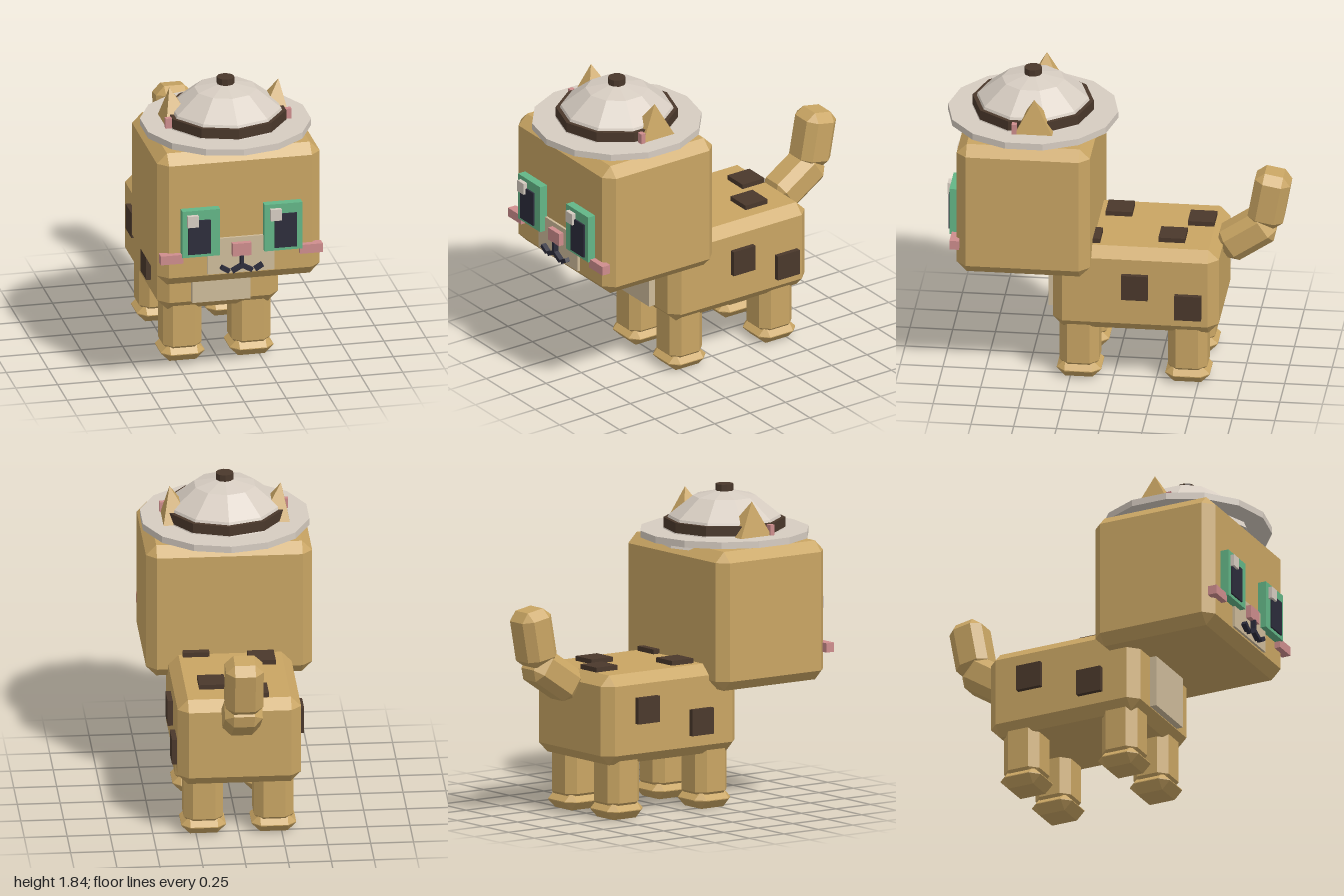
import * as THREE from 'three';
import { ConvexGeometry } from 'three/addons/geometries/ConvexGeometry.js';

const mat = (name, color, extra = {}) => {
  const m = new THREE.MeshStandardMaterial({ color, flatShading: true, ...extra });
  m.name = name;
  return m;
};

export function createModel() {
  const fur = mat('tan fur', 0xc9a563);
  const cream = mat('cream fur', 0xcebb9a);
  const white = mat('off white', 0xd6ccc1, { side: THREE.DoubleSide });
  const brown = mat('dark brown', 0x4a382b);
  const green = mat('eye green', 0x63b687);
  const navy = mat('navy', 0x2c2c3b);
  const pink = mat('pink', 0xce8d8d);

  const model = new THREE.Group();
  model.name = 'cat';

  const add = (name, geometry, material, x = 0, y = 0, z = 0, parent = model) => {
    const mesh = new THREE.Mesh(geometry, material);
    mesh.name = name;
    mesh.position.set(x, y, z);
    parent.add(mesh);
    return mesh;
  };
  const box = (name, material, w, h, d, x, y, z) =>
    add(name, new THREE.BoxGeometry(w, h, d), material, x, y, z);

  // Box with every edge and corner cut off by b
  const chamferBox = (w, h, d, b) => {
    const pts = [];
    for (const sx of [-1, 1]) for (const sy of [-1, 1]) for (const sz of [-1, 1]) {
      for (let full = 0; full < 3; full++) {
        pts.push(new THREE.Vector3(
          sx * (w / 2 - (full === 0 ? 0 : b)),
          sy * (h / 2 - (full === 1 ? 0 : b)),
          sz * (d / 2 - (full === 2 ? 0 : b))));
      }
    }
    return new ConvexGeometry(pts);
  };

  // Body, chest and head
  add('body', chamferBox(0.72, 0.53, 0.97, 0.06), fur, 0, 0.595, -0.135);
  box('chest', cream, 0.345, 0.37, 0.08, 0, 0.58, 0.35);
  add('head', chamferBox(0.97, 0.82, 0.78, 0.06), fur, 0, 1.12, 0.51);

  // Legs and paws
  for (const s of [-1, 1]) {
    for (const [end, z] of [['front', 0.2], ['back', -0.435]]) {
      add(end + 'Leg', chamferBox(0.23, 0.4, 0.23, 0.05), fur, s * 0.205, 0.25, z);
      add(end + 'Paw', chamferBox(0.26, 0.105, 0.26, 0.05), fur, s * 0.205, 0.0525, z);
    }
  }

  // Tail in two bent segments
  const tailGeo = chamferBox(0.22, 0.34, 0.21, 0.05);
  add('tailBase', tailGeo, fur, 0, 0.845, -0.755).rotation.x = -0.98;
  add('tailTip', tailGeo, fur, 0, 1.078, -0.885).rotation.x = -0.18;

  // Fur patches on the back and sides
  for (const [x, z] of [[-0.095, -0.48], [0.145, -0.335], [-0.175, 0.01], [0.2, 0.155]]) {
    box('backPatch', brown, 0.155, 0.04, 0.155, x, 0.868, z);
  }
  for (const [s, y, z] of [[1, 0.632, -0.135], [1, 0.518, -0.447], [-1, 0.645, -0.335], [-1, 0.535, 0.055]]) {
    box('sidePatch', brown, 0.04, 0.155, 0.155, s * 0.37, y, z);
  }

  // Face
  box('muzzle', cream, 0.4, 0.22, 0.03, 0, 0.89, 0.9);
  box('nose', pink, 0.112, 0.078, 0.05, 0, 0.932, 0.922);
  for (const s of [-1, 1]) {
    box('eye', green, 0.225, 0.29, 0.05, s * 0.245, 1.055, 0.925);
    box('pupil', navy, 0.133, 0.21, 0.03, s * 0.257, 1.035, 0.945);
    box('cheek', pink, 0.135, 0.055, 0.055, s * 0.415, 0.898, 0.908);
    box('mouthInner', navy, 0.068, 0.025, 0.03, s * 0.03, 0.815, 0.935).rotation.z = -s * 0.5;
    box('mouthOuter', navy, 0.055, 0.025, 0.03, s * 0.1, 0.815, 0.935).rotation.z = s * 0.55;
  }
  for (const x of [-0.298, 0.197]) box('eyeHighlight', white, 0.065, 0.07, 0.03, x, 1.14, 0.96);
  box('mouthStem', navy, 0.02, 0.075, 0.03, 0, 0.858, 0.935);

  // Ears, pointing up through the hat brim
  for (const s of [-1, 1]) {
    const pts = [[0.325, 1.785, 0.457]];
    for (const x of [0.14, 0.385]) for (const z of [0.305, 0.61]) pts.push([x, 1.5, z]);
    add('ear', new ConvexGeometry(pts.map(([x, y, z]) => new THREE.Vector3(s * x, y, z))), fur);
    box('innerEar', pink, 0.12, 0.14, 0.03, s * 0.315, 1.572, 0.57);
  }

  // Hat: brim, dome, band and button
  const hat = new THREE.Group();
  hat.name = 'hat';
  hat.position.z = 0.5;
  model.add(hat);
  add('brim', new THREE.CylinderGeometry(0.498, 0.498, 0.04, 14), white, 0, 1.56, 0, hat);
  const dome = [[0.39, 1.5], [0.325, 1.66], [0.183, 1.773], [0, 1.815]].map(p => new THREE.Vector2(...p));
  add('dome', new THREE.LatheGeometry(dome, 10), white, 0, 0, 0, hat);
  add('band', new THREE.CylinderGeometry(0.355, 0.355, 0.07, 10), brown, 0, 1.61, 0, hat);
  add('button', new THREE.CylinderGeometry(0.052, 0.052, 0.045, 10), brown, 0, 1.82, 0, hat);

  return model;
}
